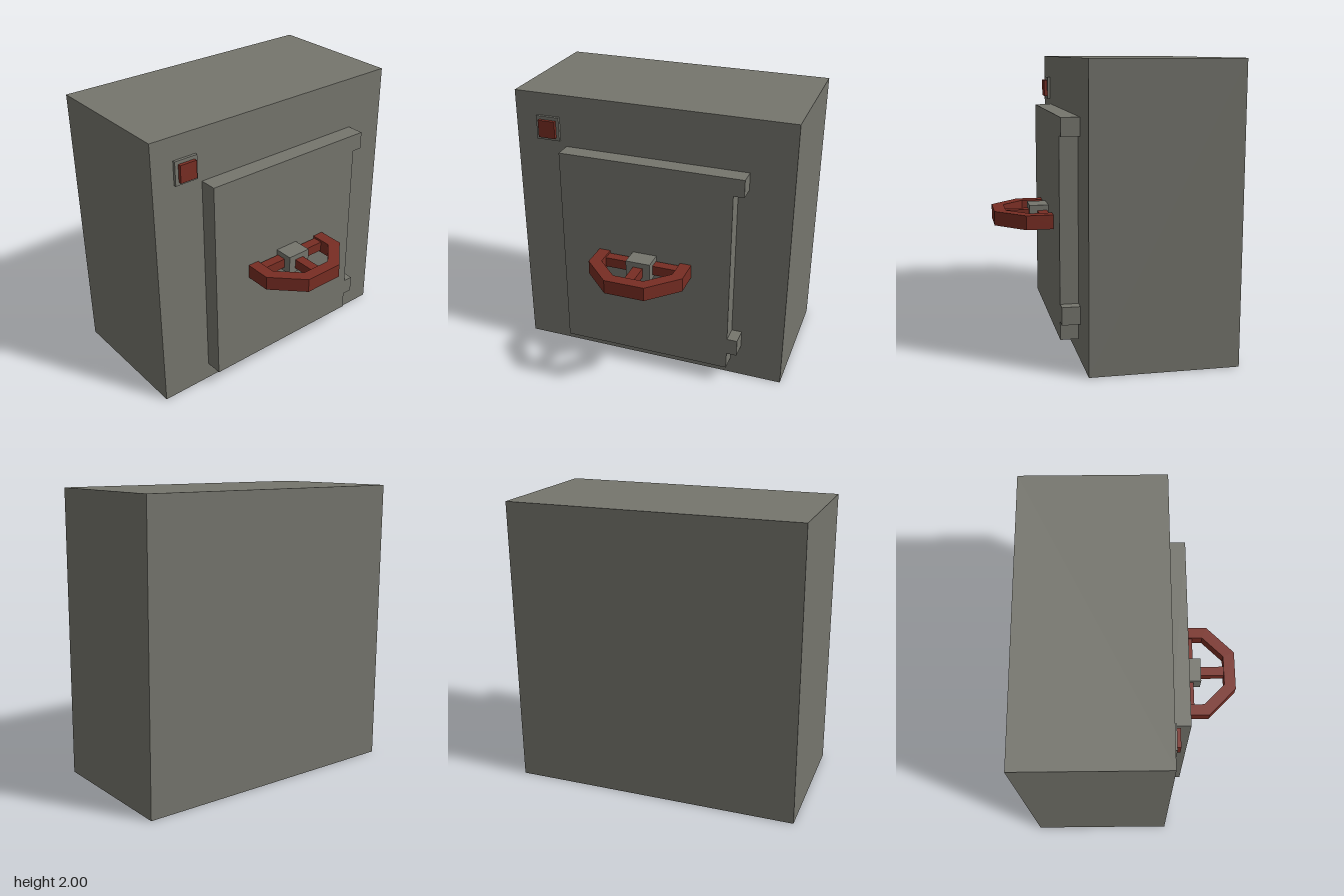
import * as THREE from 'three';

export function createModel() {
  const safe = new THREE.Group();
  safe.name = 'safe';
  const grey = new THREE.MeshStandardMaterial({ name: 'greySteel', color: 0x75756d });
  const red = new THREE.MeshStandardMaterial({ name: 'redPaint', color: 0x782d23 });

  const add = (name, geometry, material, parent = safe) => {
    const mesh = new THREE.Mesh(geometry, material);
    mesh.name = name;
    parent.add(mesh);
    return mesh;
  };
  // Box given by its lower and upper corners
  const box = (name, material, [x0, y0, z0], [x1, y1, z1], parent) =>
    add(name, new THREE.BoxGeometry(x1 - x0, y1 - y0, z1 - z0), material, parent)
      .position.set((x0 + x1) / 2, (y0 + y1) / 2, (z0 + z1) / 2);

  box('body', grey, [-1, 0, -0.76], [1, 2, 0.24]);

  // Door slab with two hinge tabs on its left edge
  const outline = [
    [-0.625, 0.127], [0.622, 0.127], [0.622, 0.252], [0.696, 0.252], [0.696, 0.375], [0.622, 0.375],
    [0.622, 1.503], [0.696, 1.503], [0.696, 1.628], [-0.625, 1.628],
  ].map(([x, y]) => new THREE.Vector2(x, y));
  add('door', new THREE.ExtrudeGeometry(new THREE.Shape(outline), { depth: 0.125, bevelEnabled: false }), grey)
    .position.z = 0.24;

  // Indicator in the upper right corner
  box('indicatorPlate', grey, [-0.838, 1.668, 0.23], [-0.668, 1.838, 0.26]);
  box('indicatorButton', red, [-0.814, 1.69, 0.25], [-0.69, 1.814, 0.284]);

  // Horizontal eight-sided wheel, half sunk into the door
  const wheel = new THREE.Group();
  wheel.name = 'handWheel';
  safe.add(wheel);
  const centerZ = 0.41;
  const octagon = (a, b) => [[a, b], [b, a], [-b, a], [-a, b], [-a, -b], [-b, -a], [b, -a], [a, -b]]
    .map(([x, z]) => new THREE.Vector2(x, z));
  const ring = new THREE.Shape(octagon(0.345, 0.143));
  ring.holes.push(new THREE.Path(octagon(0.262, 0.11)));
  const rim = add('wheelRim', new THREE.ExtrudeGeometry(ring, { depth: 0.1, bevelEnabled: false }), red, wheel);
  rim.rotation.x = Math.PI / 2;
  rim.position.set(0, 0.93, centerZ);

  box('wheelHub', grey, [-0.088, 0.815, 0.32], [0.088, 0.953, 0.5], wheel);
  for (const side of [-1, 1]) {
    const [near, far] = [side * 0.07, side * 0.28];
    box('sideSpoke', red, [Math.min(near, far), 0.845, 0.375], [Math.max(near, far), 0.915, 0.445], wheel);
  }
  box('frontSpoke', red, [-0.035, 0.845, 0.48], [0.035, 0.915, 0.69], wheel);

  return safe;
}
